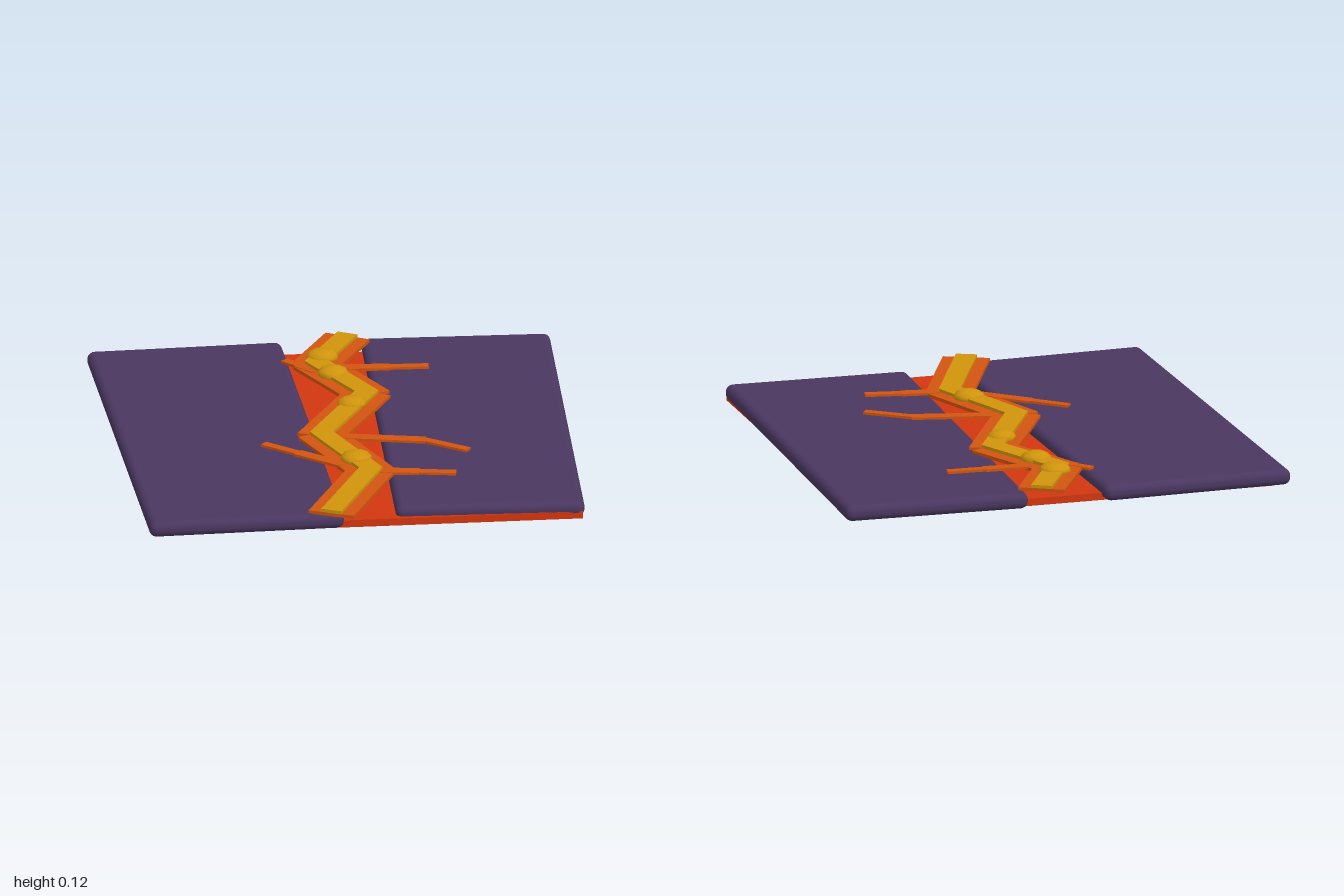
import * as THREE from 'three';
import { RoundedBoxGeometry } from 'three/addons/geometries/RoundedBoxGeometry.js';

const material = (name, color) => {
  const m = new THREE.MeshStandardMaterial({ color });
  m.name = name;
  return m;
};

export function createModel() {
  const root = new THREE.Group();
  root.name = 'crackedLavaGround';
  const stone = material('dark purple stone', 0x4a3760);
  const red = material('deep lava red', 0xd2360f);
  const orange = material('lava orange', 0xd2540f);
  const yellow = material('molten yellow', 0xd0940c);

  const add = (parent, name, geometry, mat, x, y, z, turn = 0) => {
    const mesh = new THREE.Mesh(geometry, mat);
    mesh.name = name;
    mesh.position.set(x, y, z);
    mesh.rotation.y = turn;
    parent.add(mesh);
    return mesh;
  };

  // Chain of flat bars along points [x, z]; each bar overruns its ends a little
  const addBars = (name, points, widths, height, y, overrun, mat) => {
    const group = new THREE.Group();
    group.name = name;
    for (let i = 0; i < points.length - 1; i++) {
      const [ax, az] = points[i], [bx, bz] = points[i + 1];
      const dx = bx - ax, dz = bz - az;
      const bar = new THREE.BoxGeometry(widths[i % widths.length], height, Math.hypot(dx, dz) + 2 * overrun);
      add(group, name + 'Segment', bar, mat, (ax + bx) / 2, y, (az + bz) / 2, Math.atan2(dx, dz));
    }
    root.add(group);
  };

  // Glowing bed and the two stone slabs, drifting slightly apart
  add(root, 'lavaBed', new THREE.BoxGeometry(1.73, 0.03, 1.82), red, 0, 0.015, 0);
  add(root, 'rightSlab', new RoundedBoxGeometry(0.785, 0.066, 1.91, 3, 0.03), stone, -0.515, 0.037, 0, 0.03);
  add(root, 'leftSlab', new RoundedBoxGeometry(0.757, 0.066, 1.865, 3, 0.03), stone, 0.522, 0.037, -0.03, -0.028);

  // Zigzag lava stream with a brighter core
  const stream = [[0.105, -0.938], [-0.04, -0.67], [0.125, -0.325], [-0.1, 0.1], [0.055, 0.505], [-0.142, 0.937]];
  addBars('lavaStream', stream, [0.19], 0.014, 0.075, 0.02, orange);
  addBars('lavaCore', stream, [0.085], 0.014, 0.088, 0.02, yellow);

  // Side cracks, tapering towards the tip
  const cracks = [
    [[0.06, -0.62], [0.24, -0.61], [0.395, -0.605]],
    [[-0.05, -0.59], [-0.11, -0.66], [-0.16, -0.715]],
    [[-0.05, 0.43], [-0.21, 0.29], [-0.335, 0.18]],
    [[0, 0.13], [0.3, 0.195], [0.46, 0.315]],
    [[0.08, 0.51], [0.24, 0.535], [0.385, 0.56]],
  ];
  for (const path of cracks) addBars('sideCrack', path, [0.052, 0.037], 0.01, 0.079, 0.008, orange);

  // Flattened faceted bubbles on the stream
  const bubbles = [[-0.01, -0.73, 0.065], [0.013, -0.545, 0.063], [0.055, -0.21, 0.059], [0.01, 0.385, 0.064]];
  bubbles.forEach(([x, z, r], i) => {
    const geometry = new THREE.IcosahedronGeometry(r, 1);
    geometry.scale(1, 0.5, 1);
    add(root, 'lavaBubble', geometry, yellow, x, 0.088, z, i * 0.7);
  });
  return root;
}
